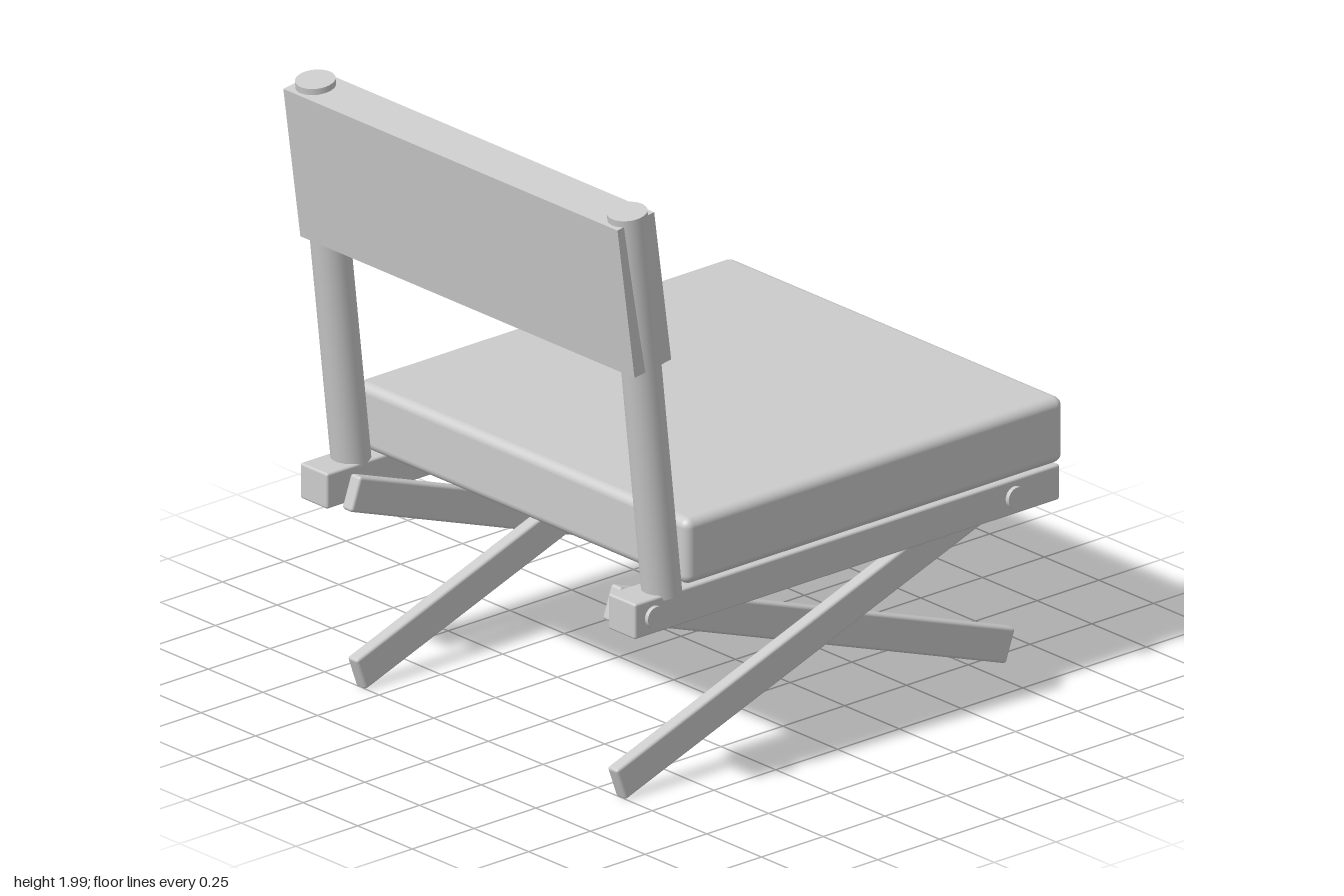
import * as THREE from 'three';
import { RoundedBoxGeometry } from 'three/addons/geometries/RoundedBoxGeometry.js';

const material = new THREE.MeshStandardMaterial({ color: 0xcccccc });

export function createModel() {
  const chair = new THREE.Group();
  chair.name = 'foldingChair';

  const add = (name, geometry, x, y, z) => {
    const mesh = new THREE.Mesh(geometry, material);
    mesh.name = name;
    mesh.position.set(x, y, z);
    chair.add(mesh);
    return mesh;
  };

  // Flat bar between two (y, z) points at a given x
  const bar = (name, x, y0, z0, y1, z1) => {
    const length = Math.hypot(y1 - y0, z1 - z0);
    const mesh = add(name, new RoundedBoxGeometry(0.046, 0.113, length, 2, 0.01),
      x, (y0 + y1) / 2, (z0 + z1) / 2);
    mesh.rotation.x = -Math.atan2(y1 - y0, z1 - z0);
  };

  // Seat cushion
  add('seatCushion', new RoundedBoxGeometry(1.53, 0.215, 1.53, 4, 0.03), -0.015, 0.808, -0.155);

  // Both sides: rail, bolts, crossed legs and back post
  const sides = [
    { side: 'right', sign: -1, rail: -0.722, legA: -0.582, legB: -0.63, foot: -0.72, top: -0.683 },
    { side: 'left', sign: 1, rail: 0.688, legA: 0.608, legB: 0.562, foot: 0.702, top: 0.745 },
  ];
  for (const s of sides) {
    add(s.side + 'Rail', new RoundedBoxGeometry(0.125, 0.116, 1.72, 2, 0.008), s.rail, 0.642, -0.04);

    for (const z of [0.755, -0.705]) {
      const head = add(s.side + 'BoltHead', new THREE.CylinderGeometry(0.035, 0.035, 0.014, 32),
        s.rail + s.sign * 0.081, 0.648, z);
      head.rotation.z = Math.PI / 2;
      const shank = add(s.side + 'BoltShank', new THREE.CylinderGeometry(0.015, 0.015, 0.14, 16),
        s.rail + s.sign * 0.008, 0.648, z);
      shank.rotation.z = Math.PI / 2;
    }

    bar(s.side + 'LegBackFoot', s.legA, 0.058, 0.77, 0.64, -0.86);
    bar(s.side + 'LegFrontFoot', s.legB, 0.067, -0.85, 0.63, 0.75);

    // Leaning round post
    const foot = new THREE.Vector3(s.foot, 0.69, 0.669);
    const top = new THREE.Vector3(s.top, 1.992, 0.847);
    const axis = top.clone().sub(foot);
    const post = add(s.side + 'Post', new THREE.CylinderGeometry(0.062, 0.062, axis.length(), 40),
      (foot.x + top.x) / 2, (foot.y + top.y) / 2, (foot.z + top.z) / 2);
    post.quaternion.setFromUnitVectors(new THREE.Vector3(0, 1, 0), axis.normalize());
  }

  // Backrest sleeve around the posts
  const back = add('backrest', new THREE.BoxGeometry(1.53, 0.505, 0.15), 0.017, 1.72, 0.81);
  back.rotation.x = 0.137;

  return chair;
}
